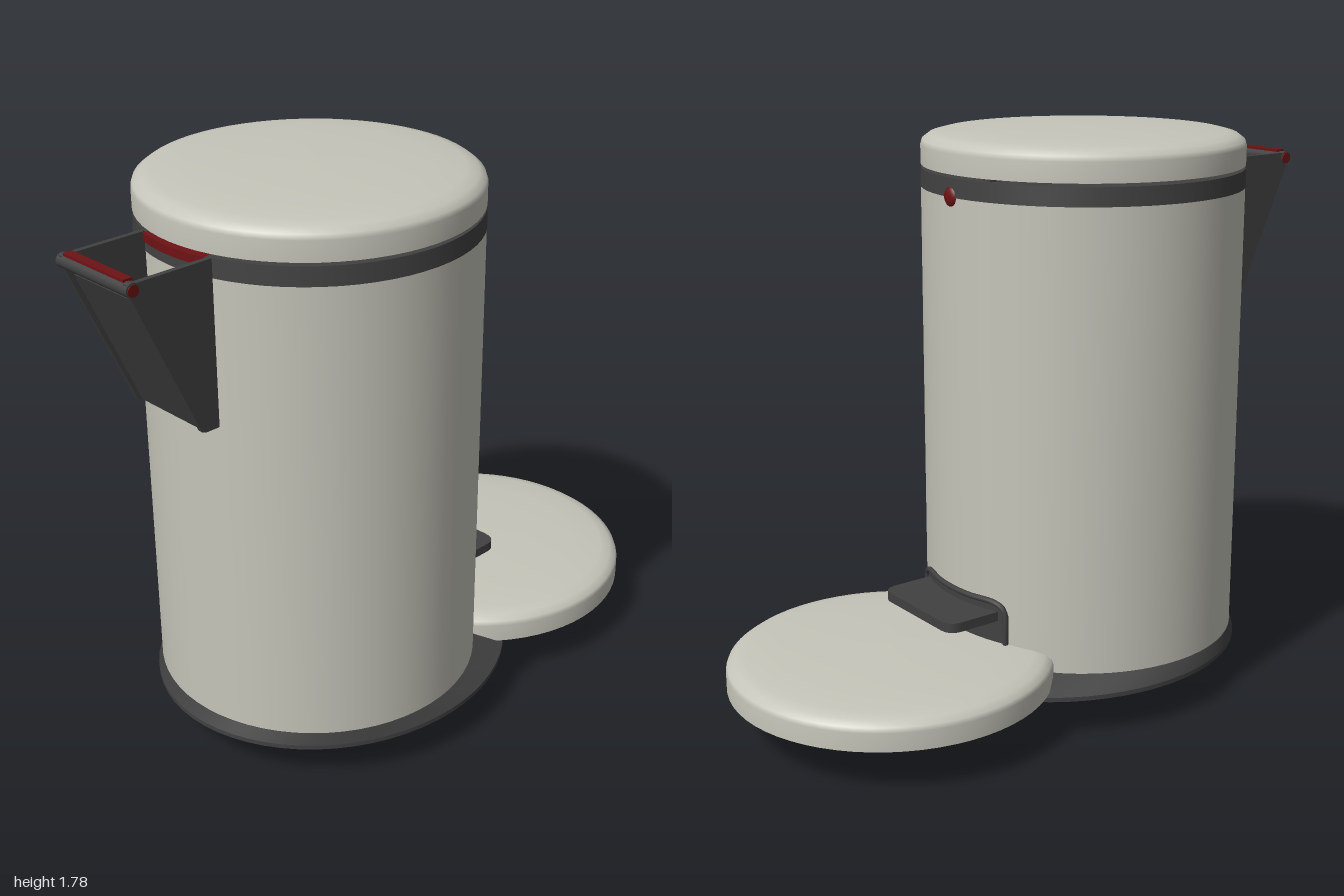
import * as THREE from 'three';

const steel = new THREE.MeshStandardMaterial({ color: 0xc6c5ba });
steel.name = 'brushed steel';
const plastic = new THREE.MeshStandardMaterial({ color: 0x414141 });
plastic.name = 'dark plastic';
const red = new THREE.MeshStandardMaterial({ color: 0x6e1214 });
red.name = 'dark red';

const CX = -0.24, R = 0.5; // bin axis and radius

function add(parent, name, geometry, material, x = 0, y = 0, z = 0) {
  const mesh = new THREE.Mesh(geometry, material);
  mesh.name = name;
  mesh.position.set(x, y, z);
  parent.add(mesh);
  return mesh;
}

const polygon = (pts) => new THREE.Shape(pts.map(([x, y]) => new THREE.Vector2(x, y)));

// Domed disc: flat underside, upright wall, rounded shoulder
function lidGeometry() {
  const wall = [[0, 0], [0.5, 0], [0.5, 0], [0.5, 0.06], [0.495, 0.075], [0.475, 0.09],
    [0.44, 0.099], [0.34, 0.107], [0.18, 0.113], [0, 0.115]];
  return new THREE.LatheGeometry(wall.map(([x, y]) => new THREE.Vector2(x, y)), 64);
}

// Oval foot that slopes up to the round body
function baseGeometry() {
  const g = new THREE.CylinderGeometry(1, 1, 1, 64, 1);
  const p = g.attributes.position;
  for (let i = 0; i < p.count; i++) {
    const top = p.getY(i) > 0;
    p.setXYZ(i,
      top ? CX + p.getX(i) * 0.502 : -0.175 + p.getX(i) * 0.585,
      top ? 0.18 : 0.143,
      p.getZ(i) * (top ? 0.502 : 0.53));
  }
  g.computeVertexNormals();
  return g;
}

// Plate wrapped round the body, with rounded upper corners
function wrappedPlate(halfWidth, y0, y1, corner, r0, r1) {
  const g = new THREE.BoxGeometry(1, 1, 2, 1, 1, 40);
  const p = g.attributes.position;
  for (let i = 0; i < p.count; i++) {
    const z = p.getZ(i) * halfWidth;
    const d = Math.max(0, Math.abs(z) - halfWidth + corner);
    const drop = corner - Math.sqrt(Math.max(0, corner * corner - d * d));
    const r = p.getX(i) > 0 ? r1 : r0;
    p.setXYZ(i, CX + Math.sqrt(r * r - z * z), p.getY(i) > 0 ? y1 - drop : y0, z);
  }
  g.computeVertexNormals();
  return g;
}

function buildHandle() {
  const handle = new THREE.Group();
  handle.name = 'handle';
  const cheek = polygon([[-0.99, 1.66], [-0.985, 1.63], [-0.78, 1.175], [-0.765, 1.17],
    [-0.72, 1.17], [-0.72, 1.66]]);
  for (const z of [-0.152, 0.132]) {
    add(handle, 'handleCheek', new THREE.ExtrudeGeometry(cheek, { depth: 0.016, bevelEnabled: false }),
      plastic, 0, 0, z);
  }
  // Sloping outer panel between the cheeks
  const panel = polygon([[-0.955, 1.6], [-0.765, 1.17], [-0.735, 1.17], [-0.93, 1.6]]);
  add(handle, 'handlePanel', new THREE.ExtrudeGeometry(panel, { depth: 0.28, bevelEnabled: false }),
    plastic, 0, 0, -0.142);
  add(handle, 'handleCrossbar', new THREE.BoxGeometry(0.02, 0.04, 0.28), plastic, -0.935, 1.615, -0.002);
  // Red grip with pins showing on both cheeks
  const bar = (r, l) => new THREE.CylinderGeometry(r, r, l, 20).rotateX(Math.PI / 2);
  add(handle, 'gripBar', bar(0.017, 0.27), red, -0.972, 1.645, -0.002);
  add(handle, 'gripSleeve', bar(0.023, 0.304), plastic, -0.975, 1.643, -0.002).scale.set(0.9, 0.9, 1);
  add(handle, 'gripFace', new THREE.BoxGeometry(0.028, 0.008, 0.26), red, -0.972, 1.665, -0.002);
  add(handle, 'gripPins', bar(0.017, 0.312), red, -0.975, 1.643, -0.002);
  return handle;
}

function buildPedal() {
  const pedal = new THREE.Group();
  pedal.name = 'pedalAssembly';
  add(pedal, 'pedalPlate', wrappedPlate(0.215, 0.15, 0.385, 0.04, 0.49, 0.504), plastic);
  // Raised lip round the plate
  const onBody = (z, y) => new THREE.Vector3(CX + Math.sqrt(0.505 ** 2 - z * z), y, z);
  const lip = [onBody(-0.21, 0.16), onBody(-0.21, 0.26), onBody(-0.21, 0.345), onBody(-0.2, 0.37),
    onBody(-0.17, 0.383), onBody(-0.08, 0.383), onBody(0, 0.383), onBody(0.08, 0.383),
    onBody(0.17, 0.383), onBody(0.2, 0.37), onBody(0.21, 0.345), onBody(0.21, 0.26), onBody(0.21, 0.16)];
  add(pedal, 'pedalLip', new THREE.TubeGeometry(new THREE.CatmullRomCurve3(lip), 60, 0.009, 8), plastic);
  // Foot plate with rounded outer corners
  const s = new THREE.Shape();
  s.moveTo(0.18, -0.185);
  s.lineTo(0.36, -0.185);
  s.quadraticCurveTo(0.408, -0.185, 0.408, -0.137);
  s.lineTo(0.408, 0.137);
  s.quadraticCurveTo(0.408, 0.185, 0.36, 0.185);
  s.lineTo(0.18, 0.185);
  const foot = new THREE.ExtrudeGeometry(s, { depth: 0.03, bevelEnabled: false });
  add(pedal, 'pedal', foot.rotateX(Math.PI / 2), plastic, 0, 0.354, 0);
  return pedal;
}

export function createModel() {
  const model = new THREE.Group();
  model.name = 'pedalBin';

  // Body, rim and lid
  add(model, 'body', new THREE.CylinderGeometry(R, R, 1.435, 64), steel, CX, 0.8875, 0);
  add(model, 'rim', new THREE.CylinderGeometry(0.499, 0.502, 0.056, 64), plastic, CX, 1.632, 0);
  add(model, 'lid', lidGeometry(), steel, CX, 1.67, 0);
  for (const z of [-0.13, 0.07]) {
    add(model, 'lidStop', new THREE.BoxGeometry(0.04, 0.014, 0.035), plastic, 0.2, 1.664, z);
  }

  // Red details at the rim
  add(model, 'frontButton', new THREE.SphereGeometry(0.03, 20, 14), red, 0.256, 1.605, 0).scale.x = 0.45;
  add(model, 'hingeStrip', new THREE.CylinderGeometry(0.508, 0.508, 0.025, 16, 1, false,
    Math.PI * 1.5 - 0.26, 0.52), red, CX, 1.648, 0);

  // Base and the plate below it
  add(model, 'base', baseGeometry(), plastic);
  const plate = add(model, 'basePlate', new THREE.CylinderGeometry(0.53, 0.53, 0.014, 64), plastic, -0.175, 0.136, 0);
  plate.scale.x = 0.585 / 0.53;

  // Thin fins under the base
  const fin = new THREE.Shape();
  fin.moveTo(-0.2, 0.13);
  fin.lineTo(-0.36, 0.105);
  fin.quadraticCurveTo(-0.34, 0.005, -0.24, 0.003);
  fin.quadraticCurveTo(-0.15, 0.01, -0.125, 0.09);
  fin.lineTo(-0.075, 0.085);
  fin.lineTo(-0.04, 0.055);
  fin.lineTo(-0.02, 0.065);
  fin.lineTo(0.01, 0.13);
  for (const z of [0, 0.13, 0.26]) {
    add(model, 'fin', new THREE.ExtrudeGeometry(fin, { depth: 0.006, bevelEnabled: false }),
      plastic, 0, 0, z - 0.003);
  }

  // Spare lid lying at the foot, pedal and handle
  add(model, 'lowerLid', lidGeometry(), steel, 0.5, 0.15, 0).scale.y = 0.96;
  model.add(buildPedal(), buildHandle());
  return model;
}
